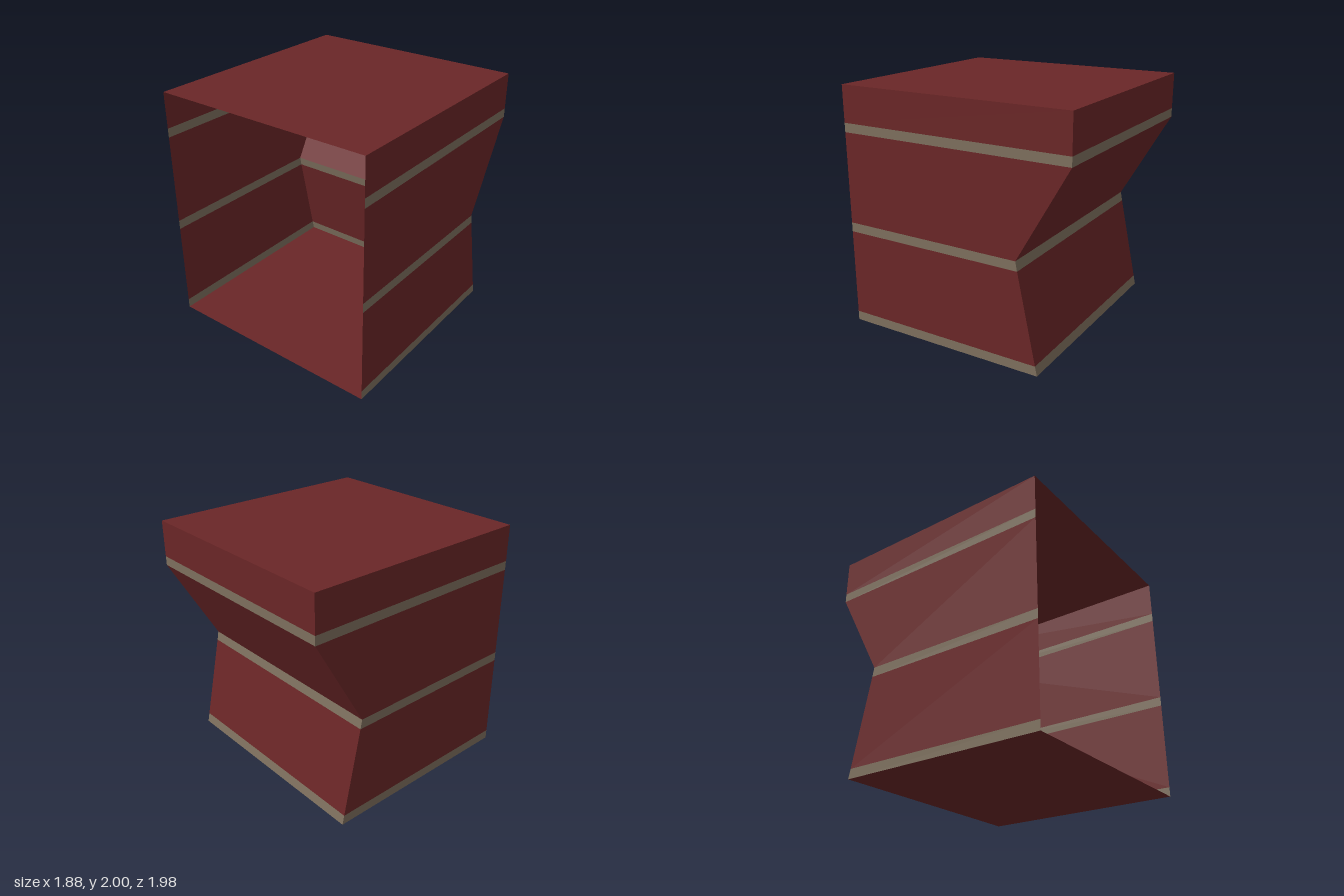
import * as THREE from 'three';

const HALF_W = 0.94;
const FRONT = 0.99;

// Levels of the shell, bottom to top: [height, z of the back wall]
const LEVELS = [
  [0, -0.745], [0.078, -0.728], [0.798, -0.575],
  [0.875, -0.56], [1.625, -0.99], [1.7, -0.99], [2, -0.99],
];

// One U-shaped course of wall (left, back, right), open to the front
function wallCourse([y0, z0], [y1, z1]) {
  const ring = (y, z) => [
    [HALF_W, y, FRONT], [HALF_W, y, z], [-HALF_W, y, z], [-HALF_W, y, FRONT],
  ];
  const low = ring(y0, z0), high = ring(y1, z1);
  const points = [];
  for (let i = 0; i < 3; i++) {
    points.push(low[i], low[i + 1], high[i + 1], low[i], high[i + 1], high[i]);
  }
  const geometry = new THREE.BufferGeometry();
  geometry.setAttribute('position', new THREE.Float32BufferAttribute(points.flat(), 3));
  geometry.computeVertexNormals();
  return geometry;
}

// Horizontal sheet from the front edge to the back wall; dir 1 faces up, -1 down
function sheet([y, back], dir) {
  const geometry = new THREE.PlaneGeometry(HALF_W * 2, FRONT - back);
  geometry.rotateX(-dir * Math.PI / 2);
  geometry.translate(0, y, (FRONT + back) / 2);
  return geometry;
}

export function createModel() {
  const group = new THREE.Group();
  const red = new THREE.MeshStandardMaterial({ color: 0x6a2627, side: THREE.DoubleSide });
  red.name = 'dark red';
  const trim = new THREE.MeshStandardMaterial({ color: 0x7d6f5d, side: THREE.DoubleSide });
  trim.name = 'grey brown trim';

  const add = (name, geometry, material) => {
    const mesh = new THREE.Mesh(geometry, material);
    mesh.name = name;
    group.add(mesh);
  };

  // Walls alternate between trim bands and red panels
  for (let i = 0; i < LEVELS.length - 1; i++) {
    const isTrim = i % 2 === 0;
    add(isTrim ? 'trimBand' : 'wallPanel', wallCourse(LEVELS[i], LEVELS[i + 1]), isTrim ? trim : red);
  }

  // Floor and roof
  add('floor', sheet(LEVELS[0], -1), red);
  add('roof', sheet(LEVELS[LEVELS.length - 1], 1), red);
  return group;
}
